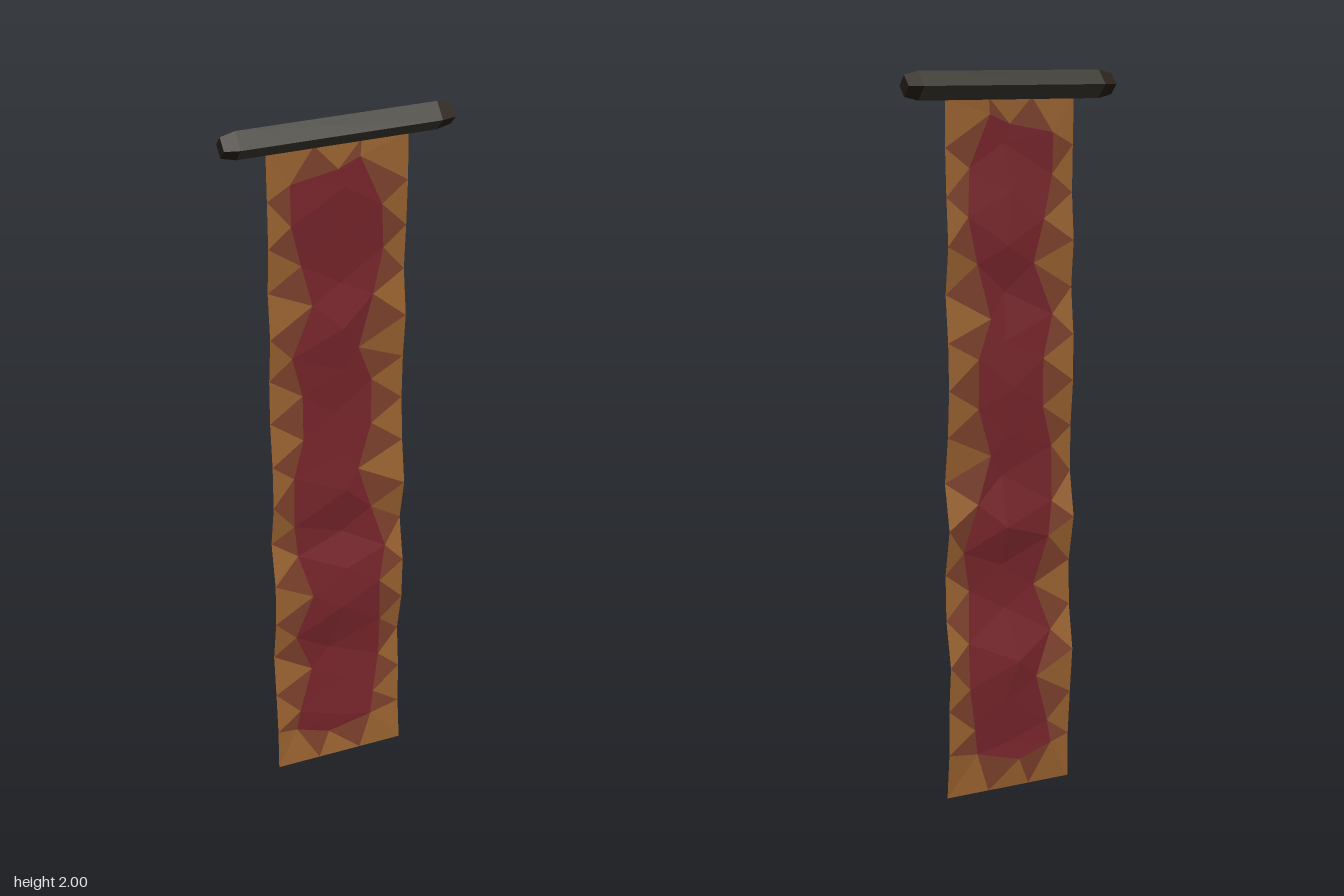
import * as THREE from 'three';

const ROWS = 15, TOP = 1.93, STEP = TOP / ROWS, HALF = 0.193;

// Inner outline of the red field (bottom to top), one point per row
const LEFT_X = [-0.13, -0.12, -0.08, -0.13, -0.08, -0.12, -0.13, -0.13, -0.1, -0.1, -0.13, -0.07, -0.1, -0.13, -0.13];
const RIGHT_X = [0.1, 0.11, 0.13, 0.13, 0.12, 0.14, 0.1, 0.06, 0.1, 0.1, 0.06, 0.1, 0.13, 0.12, 0.06];
// Depth of the cloth ripples at each row line
const RIPPLE = [0.013, 0.006, -0.005, -0.013, 0.015, 0.018, -0.014, 0.01, 0, -0.011, -0.003, 0.01, -0.009, 0.002, 0.007, 0];

function makeRandom(seed) {
  return () => {
    seed = (seed * 16807) % 2147483647;
    return seed / 2147483647 - 0.5;
  };
}

function createCloth() {
  const random = makeRandom(4711);
  const point = (x, y, wobble = 0.012) => {
    const row = Math.min(y / STEP, ROWS - 0.001), i = Math.floor(row);
    const z = THREE.MathUtils.lerp(RIPPLE[i], RIPPLE[i + 1], row - i);
    return [x, y, z + random() * wobble];
  };
  const faces = { border: [], blend: [], field: [] };
  // Every triangle is wound to face the front
  const tri = (kind, a, b, c) => {
    const area = (b[0] - a[0]) * (c[1] - a[1]) - (b[1] - a[1]) * (c[0] - a[0]);
    faces[kind].push(...a, ...(area > 0 ? [...b, ...c] : [...c, ...b]));
  };

  // Centre line shared by both halves
  const centre = [];
  for (let i = 0; i <= ROWS; i++) {
    if (i === 0) centre.push(point(-0.03, 0.08));
    else if (i === ROWS) centre.push(point(0, 1.86, 0));
    else centre.push(point(random() * 0.06, i * STEP + random() * 0.03));
  }
  const hemX = HALF / 3;
  const ends = [0, TOP].map((y) => [-1, 1].map((s) => point(s * hemX, y, 0)));

  [LEFT_X, RIGHT_X].forEach((outline, k) => {
    const side = k ? 1 : -1;
    const edge = [], inner = [];
    for (let i = 0; i <= ROWS; i++) edge.push(point(side * HALF, i * STEP, i % ROWS ? 0.014 : 0));
    outline.forEach((x, i) => {
      const lift = i === 0 ? 0.05 : i === ROWS - 1 ? (k ? 0.02 : -0.03) : random() * 0.03;
      inner.push(point(x, (i + 0.5) * STEP + lift));
    });
    for (let i = 0; i < ROWS; i++) {
      tri('border', edge[i], edge[i + 1], inner[i]);
      tri('field', inner[i], centre[i], centre[i + 1]);
      if (i) {
        tri('blend', edge[i], inner[i - 1], inner[i]);
        tri('field', centre[i], inner[i - 1], inner[i]);
      }
    }
    // Corners of the hem and of the top edge
    [0, ROWS].forEach((row, e) => {
      const near = inner[e ? ROWS - 1 : 0];
      tri('border', edge[row], ends[e][k], near);
      tri('blend', ends[e][k], near, centre[row]);
    });
  });
  ends.forEach(([a, b], e) => tri('border', a, b, centre[e * ROWS]));

  const cloth = new THREE.Group();
  cloth.name = 'cloth';
  const colors = { border: 0x96602f, blend: 0x7a3f2b, field: 0x74242a };
  for (const kind in faces) {
    const geometry = new THREE.BufferGeometry();
    geometry.setAttribute('position', new THREE.Float32BufferAttribute(faces[kind], 3));
    geometry.computeVertexNormals();
    const mesh = new THREE.Mesh(geometry, new THREE.MeshStandardMaterial({
      color: colors[kind], flatShading: true, side: THREE.DoubleSide,
    }));
    mesh.name = 'cloth' + kind[0].toUpperCase() + kind.slice(1);
    cloth.add(mesh);
  }
  return cloth;
}

function createRod() {
  const rod = new THREE.Group();
  rod.name = 'rod';
  const add = (name, rPlus, rMinus, length, x, color, open) => {
    // Four-sided bar along x, standing on a corner
    const geometry = new THREE.CylinderGeometry(rPlus, rMinus, length, 4, 1, open);
    geometry.rotateZ(-Math.PI / 2);
    const mesh = new THREE.Mesh(geometry, new THREE.MeshStandardMaterial({ color, flatShading: true }));
    mesh.name = name;
    mesh.position.set(x, 1.962, 0);
    rod.add(mesh);
  };
  add('rodBar', 0.038, 0.038, 0.54, 0, 0x3c3b32, true);
  add('rodLeftTip', 0.028, 0.038, 0.04, 0.29, 0x2a2218, false);
  add('rodRightTip', 0.038, 0.028, 0.04, -0.29, 0x2a2218, false);
  return rod;
}

export function createModel() {
  const model = new THREE.Group();
  model.name = 'banner';
  model.add(createCloth(), createRod());
  return model;
}
